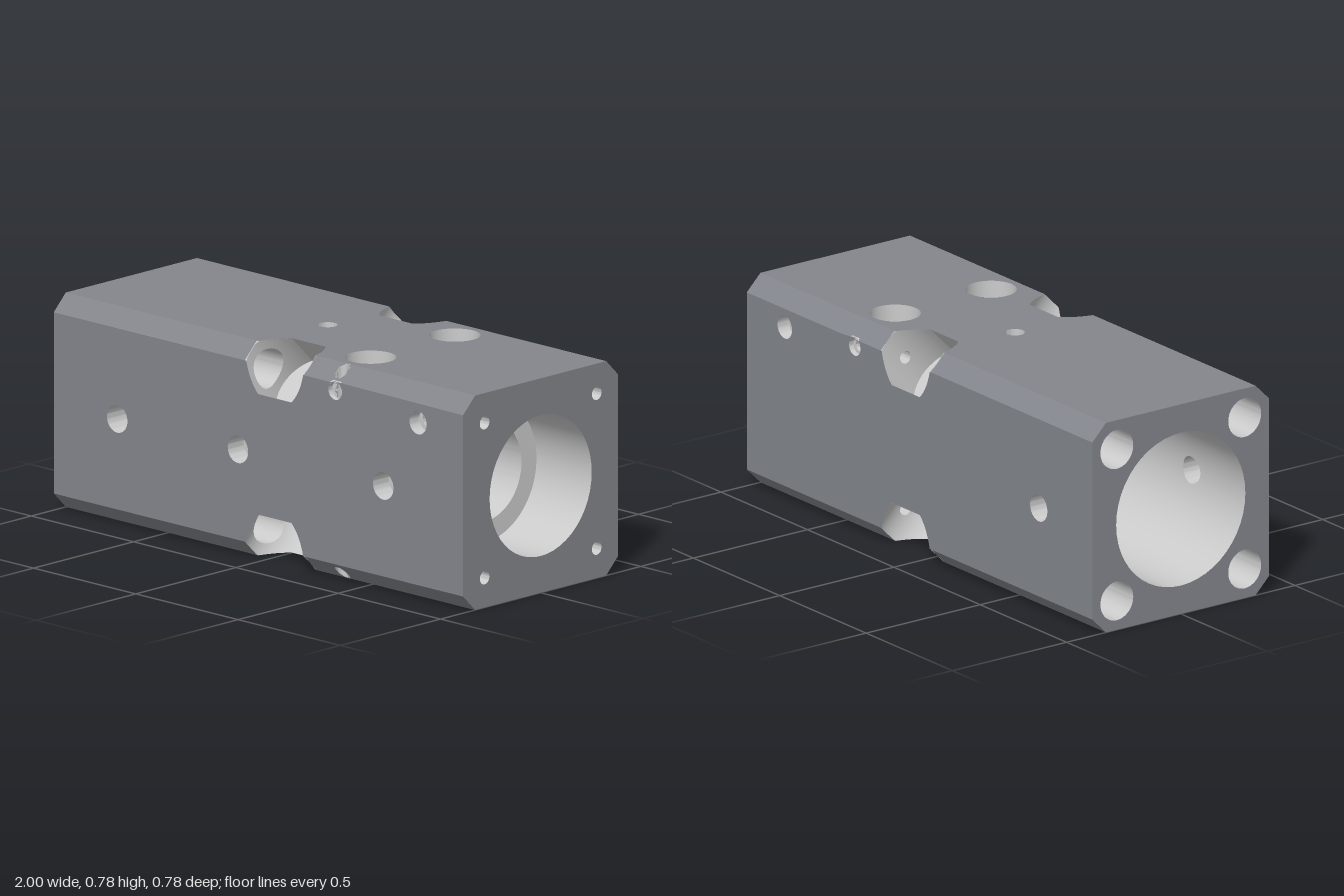
import * as THREE from 'three';
import { toCreasedNormals } from 'three/addons/utils/BufferGeometryUtils.js';

// Block cross-section is centred on the bore axis; the group lifts it to y = 0.
const H = 0.3875, E = 0.3275, L = 1, Q = Math.SQRT2;
const PX = 0.08, PR = 0.145, PF = 0.12, PD = 0.286; // corner pocket: x, radius, flats, floor

const shell = new THREE.MeshStandardMaterial({ color: 0x83868c, side: THREE.DoubleSide });
const inside = new THREE.MeshStandardMaterial({ color: 0xcccccc, side: THREE.DoubleSide });

// Round cut along an axis: a, b are the other two coordinates in x, y, z order
const cut = (name, axis, a, b, r, lo, hi) => {
  const at = (p, q, t) => axis === 'x' ? [t, p, q] : axis === 'y' ? [p, t, q] : [p, q, t];
  const sdf = ([x, y, z]) => {
    const [p, q, t] = axis === 'x' ? [y, z, x] : axis === 'y' ? [x, z, y] : [x, y, z];
    return Math.max(Math.hypot(p - a, q - b) - r, lo - t, t - hi);
  };
  return { name, axis, a, b, r, lo, hi, at, sdf };
};

const cuts = [
  cut('rearBore', 'x', 0, 0, 0.283, -1, -0.2),
  cut('mainBore', 'x', 0, 0, 0.18, -0.25, 0.78),
  cut('frontBore', 'x', 0, 0, 0.255, 0.73, 1),
  cut('crossHole', 'z', -0.69, 0, 0.05, -0.5, 0.5),
  cut('portHole', 'z', 0.78, 0.26, 0.025, -0.5, 0.5),
  cut('pinHole', 'z', 0.375, 0.3, 0.02, -0.5, 0.5),
  cut('verticalPinHole', 'y', 0.375, 0.35, 0.02, -0.5, 0.5),
];
for (const s of [-1, 1]) {
  for (const t of [-1, 1]) {
    cuts.push(cut('boltCounterbore', 'x', s * 0.28, t * 0.28, 0.072, -1, PX));
    cuts.push(cut('boltHole', 'x', s * 0.28, t * 0.28, 0.024, PX - 0.02, 1));
  }
  const span = (d) => s > 0 ? [H - d, 0.5] : [-0.5, d - H];
  cuts.push(cut('portCounterbore', 'z', 0.78, 0.26, 0.042, ...span(0.05)));
  cuts.push(cut('pinCounterbore', 'z', 0.375, 0.3, 0.033, ...span(0.02)));
  cuts.push(cut('blindHole', 'y', -0.04, 0, 0.035, ...span(0.1)));
  cuts.push(cut('mountingHole', 'y', 0.375, s * 0.21, 0.06, -0.5, 0.5));
  cuts.push(cut('mountingCounterbore', 'y', 0.375, s * 0.21, 0.09, H - 0.06, 0.5));
}
for (const x of [-0.1, 0.61]) {
  cuts.push(cut('plugCounterbore', 'z', x, 0, 0.05, H - 0.08, 0.5));
  cuts.push(cut('plugHole', 'z', x, 0, 0.02, 0.1, 0.5));
}

// Diagonal access pockets on the four long edges
const pockets = [];
for (const sy of [-1, 1]) for (const sz of [-1, 1]) {
  pockets.push({
    name: 'edgePocket',
    at: (x, s, t) => [PX + x, sy * (t + s) / Q, sz * (t - s) / Q],
    sdf: ([x, y, z]) => {
      const s = (sy * y - sz * z) / Q, t = (sy * y + sz * z) / Q;
      return Math.max(Math.hypot(x - PX, s) - PR, Math.abs(s) - PF, PD - t);
    },
  });
}
const all = [...cuts, ...pockets];
const block = ([x, y, z]) => Math.max(Math.abs(x) - L, Math.abs(y) - H, Math.abs(z) - H,
  (Math.abs(y) + Math.abs(z) - H - E) / Q);

// Surface grid trimmed to the block and by every other cut
function trimmed(fn, nu, nv, self) {
  const others = all.filter((c) => c !== self);
  const f = (p) => {
    let d = -block(p);
    for (const c of others) d = Math.min(d, c.sdf(p));
    return d + 1e-5;
  };
  const pts = [];
  for (let i = 0; i <= nu; i++) for (let j = 0; j <= nv; j++) {
    const p = fn(i / nu, j / nv);
    pts.push({ p, d: f(p) });
  }
  const out = [];
  const tri = (...t) => {
    const poly = [];
    t.forEach((A, k) => {
      const B = t[(k + 1) % 3];
      if (A.d >= 0) poly.push(A.p);
      if ((A.d >= 0) !== (B.d >= 0)) {
        const w = A.d / (A.d - B.d);
        poly.push(A.p.map((v, n) => v + (B.p[n] - v) * w));
      }
    });
    for (let k = 1; k + 1 < poly.length; k++) out.push(...poly[0], ...poly[k], ...poly[k + 1]);
  };
  for (let i = 0; i < nu; i++) for (let j = 0; j < nv; j++) {
    const o = i * (nv + 1) + j, [a, b, c, d] = [pts[o], pts[o + nv + 1], pts[o + nv + 2], pts[o + 1]];
    tri(a, b, c);
    tri(a, c, d);
  }
  if (!out.length) return null;
  const g = new THREE.BufferGeometry();
  g.setAttribute('position', new THREE.Float32BufferAttribute(out, 3));
  return toCreasedNormals(g, 0.5);
}

// Flat face from a shape, its 2D points mapped into place
function face(shape, map) {
  const g = new THREE.ShapeGeometry(shape, 24);
  const p = g.attributes.position;
  for (let i = 0; i < p.count; i++) p.setXYZ(i, ...map(p.getX(i), p.getY(i)));
  g.computeVertexNormals();
  return g;
}
const circle = (c) => new THREE.Path().absarc(c.a, c.b, c.r, 0, Math.PI * 2, true);

// Mouths of the cuts open on one face, keeping only the widest of concentric ones
function mouths(axis, side) {
  const open = cuts.filter((c) => c.axis === axis && Math.max(Math.abs(c.a), axis === 'x' ? 0 : Math.abs(c.b)) < 1
    && (axis === 'x' || Math.abs(c.b) < E)
    && (side > 0 ? c.hi >= (axis === 'x' ? L : H) : c.lo <= -(axis === 'x' ? L : H)));
  return open.filter((c) => !open.some((o) => o.a === c.a && o.b === c.b && o.r > c.r)).map(circle);
}

export function createModel() {
  const group = new THREE.Group();
  const add = (name, geo, mat) => {
    if (!geo) return;
    const m = new THREE.Mesh(geo, mat);
    m.name = name;
    m.position.y = H;
    group.add(m);
  };

  // Long side outline with a pocket notch in each edge
  const notch = [];
  const s0 = (H - E) / Q;
  for (let i = 0; i <= 16; i++) {
    const s = s0 + (PF - s0) * i / 16;
    notch.push([Math.sqrt(PR * PR - s * s), H - Q * s]);
  }
  const half = [[L, E], ...notch.map(([x, y]) => [PX + x, y]),
    ...notch.slice().reverse().map(([x, y]) => [PX - x, y]), [-L, E]];
  const outline = [...half, ...half.slice().reverse().map(([x, y]) => [x, -y])]
    .map(([x, y]) => new THREE.Vector2(x, y));
  const sides = [['frontFace', 'z', 1], ['backFace', 'z', -1], ['topFace', 'y', 1], ['bottomFace', 'y', -1]];
  for (const [name, axis, s] of sides) {
    const shape = new THREE.Shape(outline);
    shape.holes = mouths(axis, s);
    add(name, face(shape, (x, b) => axis === 'z' ? [x, b, s * H] : [x, s * H, b]), shell);
  }

  // Octagonal ends
  const oct = [[H, E], [E, H], [-E, H], [-H, E], [-H, -E], [-E, -H], [E, -H], [H, -E]]
    .map(([y, z]) => new THREE.Vector2(y, z));
  for (const s of [-1, 1]) {
    const shape = new THREE.Shape(oct);
    shape.holes = mouths('x', s);
    add(s > 0 ? 'leftEnd' : 'rightEnd', face(shape, (y, z) => [s * L, y, z]), shell);
  }

  // Bevels along the long edges
  for (const sy of [-1, 1]) for (const sz of [-1, 1]) {
    add('edgeBevel', trimmed((u, v) => [-L + 2 * L * u, sy * (E + (H - E) * v), sz * (H - (H - E) * v)], 240, 8), shell);
  }

  // Walls and floors of the round cuts
  for (const c of cuts) {
    const n = c.r > 0.15 ? 112 : c.r > 0.045 ? 48 : 32;
    const rows = Math.ceil((c.hi - c.lo) / 0.014);
    const ring = (u, r, t) => c.at(c.a + r * Math.cos(u * Math.PI * 2), c.b + r * Math.sin(u * Math.PI * 2), t);
    add(c.name, trimmed((u, v) => ring(u, c.r, c.lo + (c.hi - c.lo) * v), n, rows, c), inside);
    for (const t of [c.lo, c.hi]) {
      const limit = c.axis === 'x' ? L : H;
      if (Math.abs(t) < limit) add(c.name + 'Floor', trimmed((u, v) => ring(u, c.r * v, t), n, 10, c), inside);
    }
  }

  // Pocket walls and floors: a circle with two flats
  const a0 = Math.asin(PF / PR);
  const rim = (u) => {
    const k = Math.floor(u * 4) % 4, w = u * 4 - Math.floor(u * 4);
    const xf = PR * Math.cos(a0);
    if (k === 0) { const a = -a0 + 2 * a0 * w; return [PR * Math.cos(a), PR * Math.sin(a)]; }
    if (k === 1) return [xf - 2 * xf * w, PF];
    if (k === 2) { const a = a0 - 2 * a0 * w; return [-PR * Math.cos(a), PR * Math.sin(a)]; }
    return [-xf + 2 * xf * w, -PF];
  };
  for (const p of pockets) {
    add(p.name, trimmed((u, v) => {
      const [x, s] = rim(u);
      return p.at(x, s, PD + (Math.min((H + E) / Q, H * Q - Math.abs(s)) - PD) * v);
    }, 96, 14, p), inside);
    add('pocketFloor', trimmed((u, v) => {
      const [x, s] = rim(u);
      return p.at(x * v, s * v, PD);
    }, 64, 6, p), inside);
  }
  return group;
}
